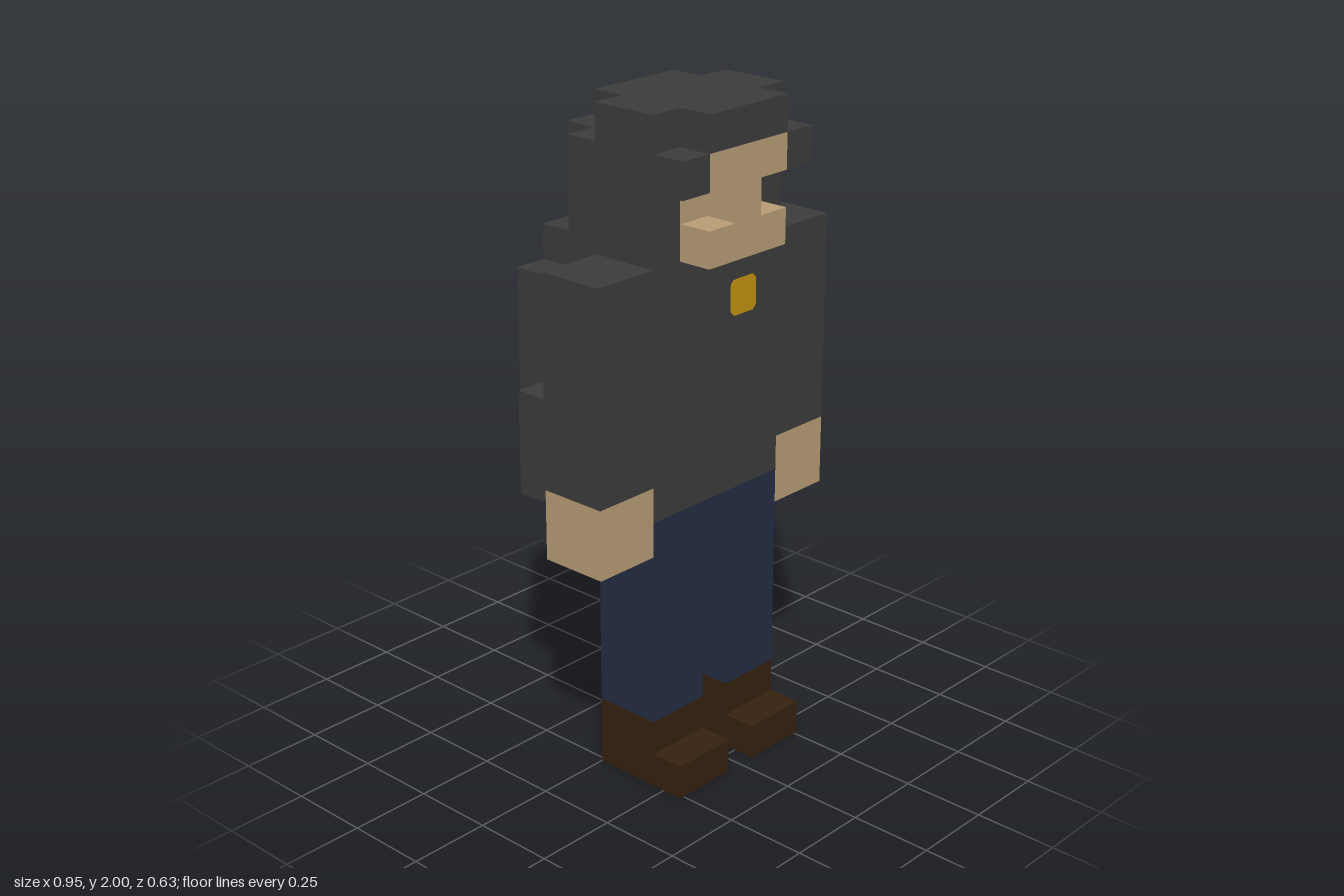
import * as THREE from 'three';

const U = 2 / 19; // edge of one cube

const mat = (name, color) => {
  const m = new THREE.MeshStandardMaterial({ color });
  m.name = name;
  return m;
};

export function createModel() {
  const dark = mat('charcoal', 0x3c3c3c);
  const skin = mat('skin', 0xb89e76);
  const navy = mat('navy', 0x222d42);
  const brown = mat('brown', 0x35210f);
  const gold = mat('gold', 0xc2920f);

  const model = new THREE.Group();
  model.name = 'blockFigure';
  const group = (name) => {
    const g = new THREE.Group();
    g.name = name;
    model.add(g);
    return g;
  };

  // Box given by its extents in cube units
  const box = (parent, name, material, [x0, x1], [y0, y1], [z0, z1]) => {
    const mesh = new THREE.Mesh(
      new THREE.BoxGeometry((x1 - x0) * U, (y1 - y0) * U, (z1 - z0) * U), material);
    mesh.position.set((x0 + x1) / 2 * U, (y0 + y1) / 2 * U, (z0 + z1) / 2 * U);
    mesh.name = name;
    parent.add(mesh);
    return mesh;
  };

  // The same box on both sides of the body
  const pair = (parent, name, material, [x0, x1], y, z) => {
    box(parent, name + 'Left', material, [x0, x1], y, z);
    box(parent, name + 'Right', material, [-x1, -x0], y, z);
  };

  // Thin square badge with clipped corners
  const badge = (parent, name, x, y, z, turn) => {
    const h = 0.5, c = 0.38;
    const shape = new THREE.Shape([
      [-c, -h], [c, -h], [h, -c], [h, c], [c, h], [-c, h], [-h, c], [-h, -c],
    ].map(([a, b]) => new THREE.Vector2(a * U, b * U)));
    const mesh = new THREE.Mesh(
      new THREE.ExtrudeGeometry(shape, { depth: 0.003, bevelEnabled: false }), gold);
    mesh.position.set(x * U, y * U, z * U);
    mesh.rotation.y = turn;
    mesh.name = name;
    parent.add(mesh);
  };

  // Legs and shoes
  const legs = group('legs');
  pair(legs, 'trouserLeg', navy, [0.5, 2.5], [2, 8], [0, 2]);
  pair(legs, 'shoe', brown, [0.5, 2.5], [0, 2], [0, 2]);
  pair(legs, 'shoeToe', brown, [0.5, 2.5], [0, 1], [2, 3]);

  // Torso, arms and hands
  const body = group('body');
  box(body, 'torso', dark, [-2.5, 2.5], [8, 15], [0, 2]);
  pair(body, 'sleeve', dark, [2.5, 4.5], [9, 15], [0, 2]);
  pair(body, 'hand', skin, [2.5, 4.5], [7, 9], [0, 2]);
  badge(body, 'chestBadge', 1, 13.5, 2, 0);

  // Backpack with stepped top and bottom
  const pack = group('backpack');
  box(pack, 'packBody', dark, [-2.5, 2.5], [8, 14], [-3, 0]);
  box(pack, 'packTop', dark, [-1.5, 1.5], [14, 15], [-3, -1]);
  box(pack, 'packBase', dark, [-2.5, 2.5], [7, 8], [-2, 0]);
  box(pack, 'packBaseBack', dark, [-1.5, 1.5], [7, 8], [-3, -2]);
  pair(pack, 'sidePocket', dark, [2.5, 3.5], [8, 11], [-2, 0]);
  badge(pack, 'packBadge', 0, 13.5, -3, Math.PI);

  // Hair
  const head = group('head');
  box(head, 'hair', dark, [-2.5, 2.5], [15, 18], [-1, 2]);
  box(head, 'hairCrown', dark, [-1.5, 1.5], [18, 19], [-1, 3]);
  pair(head, 'hairCrownSide', dark, [1.5, 2.5], [18, 19], [0, 2]);
  pair(head, 'hairFringe', dark, [1.5, 2.5], [17, 18], [2, 3]);
  box(head, 'hairBack', dark, [-1.5, 1.5], [15, 18], [-2, -1]);

  // Face with recessed eye sockets either side of the nose
  box(head, 'eyeSockets', skin, [-1.5, 1.5], [16, 17], [2, 2.04]);
  box(head, 'jaw', skin, [-1.5, 1.5], [15, 16], [2, 3]);
  box(head, 'nose', skin, [-0.5, 0.5], [16, 17], [2, 3]);
  box(head, 'forehead', skin, [-1.5, 1.5], [17, 18], [2, 3]);

  return model;
}
